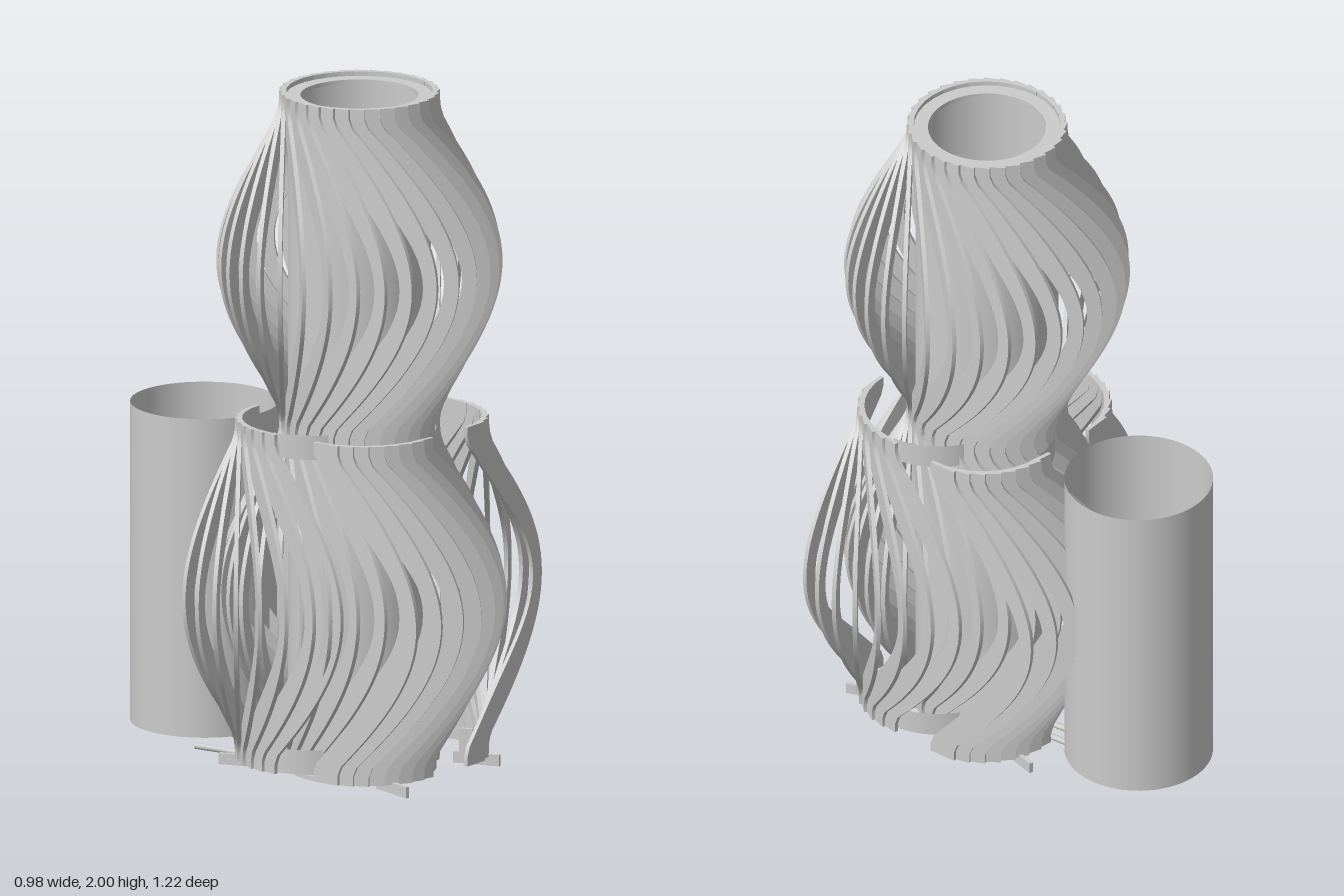
import * as THREE from 'three';
import { toCreasedNormals } from 'three/addons/utils/BufferGeometryUtils.js';

const AXIS_X = -0.01, AXIS_Z = 0.135; // vertical axis of the lamp
const OFFSET = 0.21;                  // distance from axis to each slat plane
const HALF = 0.49;                    // half height of a slat
const COUNT = 32;
// Axis positions (x, z) of the four pulled-out quarters
const QUARTERS = [[0.09, 0.232], [-0.095, 0.212], [-0.086, 0.038], [0.108, 0.06]];

const grey = new THREE.MeshStandardMaterial({ color: 0xcccccc });
const thin = new THREE.MeshStandardMaterial({ color: 0xcccccc, side: THREE.DoubleSide });

function add(parent, name, geometry, x = 0, y = 0, z = 0, material = grey) {
  const mesh = new THREE.Mesh(geometry, material);
  mesh.name = name;
  mesh.position.set(x, y, z);
  parent.add(mesh);
  return mesh;
}

function group(parent, name, x = 0, y = 0, z = 0) {
  const g = new THREE.Group();
  g.name = name;
  g.position.set(x, y, z);
  parent.add(g);
  return g;
}

// Flat slat: narrow and far out in the middle, broad and close in at the ends
function slatGeometry() {
  const outer = [], inner = [], steps = 36;
  for (let i = 0; i <= steps; i++) {
    const s = (i / steps) * 2 - 1;
    const bulge = Math.pow(Math.max(0, Math.cos(Math.min(1, Math.abs(s) / 0.92) * Math.PI / 2)), 1.35);
    const r = 0.22 + 0.177 * bulge;
    const t = Math.sqrt(r * r - OFFSET * OFFSET);
    const width = 0.042 + 0.04 * (1 - bulge) + 0.025 * Math.sin(Math.PI * bulge);
    outer.push(new THREE.Vector2(t, s * HALF));
    inner.push(new THREE.Vector2(t - width, s * HALF));
  }
  const shape = new THREE.Shape([...outer, ...inner.reverse()]);
  const geo = new THREE.ExtrudeGeometry(shape, { depth: 0.012, bevelEnabled: false });
  geo.translate(0, 0, OFFSET - 0.006);
  return toCreasedNormals(geo, 0.5);
}

// Horizontal plate from a shape, top face at y = 0
function plate(shape, height) {
  const geo = new THREE.ExtrudeGeometry(shape, { depth: height, bevelEnabled: false, curveSegments: 40 });
  geo.rotateX(Math.PI / 2);
  return toCreasedNormals(geo, 0.5);
}

function ringPlate(rIn, rOut, height) {
  const shape = new THREE.Shape();
  shape.absarc(0, 0, rOut, 0, Math.PI * 2, false);
  const hole = new THREE.Path();
  hole.absarc(0, 0, rIn, 0, Math.PI * 2, true);
  shape.holes.push(hole);
  return plate(shape, height);
}

// Round base with four curved slots
function basePlate() {
  const shape = new THREE.Shape();
  shape.absarc(0, 0, 0.2, 0, Math.PI * 2, false);
  for (let i = 0; i < 4; i++) {
    const a = i * Math.PI / 2, half = i % 2 ? 0.1 : 0.25;
    const slot = new THREE.Path();
    slot.absarc(0, 0, 0.165, a - half, a + half, false);
    slot.absarc(0, 0, 0.15, a + half, a - half, true);
    shape.holes.push(slot);
  }
  return plate(shape, 0.012);
}

const tube = (r) => new THREE.CylinderGeometry(r, r, 0.92, 64, 1, true);

export function createModel() {
  const model = new THREE.Group();
  model.name = 'slattedLamp';
  const slat = slatGeometry();
  const addSlat = (parent, angle) => {
    add(parent, 'slat', slat).rotation.y = Math.PI / 2 - angle;
  };

  // Two complete shades, stacked; baseY is the height of the base above the shade centre
  const addShade = (name, y, baseY) => {
    const shade = group(model, name, AXIS_X, y, AXIS_Z);
    for (let k = 0; k < COUNT; k++) addSlat(shade, k * Math.PI * 2 / COUNT);
    add(shade, 'topRing', ringPlate(0.165, 0.21, 0.012), 0, 0.477, 0);
    add(shade, 'diffuser', tube(0.2), 0, 0, 0, thin);
    add(shade, 'basePlate', basePlate(), 0, baseY, 0);
    add(shade, 'bulb', new THREE.SphereGeometry(0.135, 40, 24), 0, baseY + 0.22, 0);
    add(shade, 'socket', new THREE.CylinderGeometry(0.045, 0.045, 0.1, 24), 0, baseY + 0.05, 0);
    return shade;
  };
  addShade('upperShade', 1.51, -0.455);
  const lower = addShade('lowerShade', 0.565, -0.51);

  // Ring and spacers above the lower base
  add(lower, 'baseRing', ringPlate(0.165, 0.215, 0.01), 0, -0.485, 0);
  for (let i = 0; i < 8; i++) {
    const a = (i + 0.5) * Math.PI / 4;
    add(lower, 'spacer', new THREE.BoxGeometry(0.025, 0.024, 0.05),
      0.182 * Math.cos(a), -0.503, 0.182 * Math.sin(a)).rotation.y = -a;
  }

  // Outer quarters of slats, pulled away from the lower shade
  QUARTERS.forEach(([x, z], q) => {
    const from = q * Math.PI / 2, mid = from + Math.PI / 4;
    const sx = Math.sign(Math.cos(mid)), sz = Math.sign(Math.sin(mid));
    const quarter = group(model, 'lowerQuarter', x, 0.565, z);
    for (let k = 1; k <= COUNT / 4; k++) addSlat(quarter, from + k * Math.PI * 2 / COUNT);
    // Thin curved bands behind the slat ends
    for (const y of [0.455, -0.455]) {
      add(quarter, 'collarBand',
        new THREE.CylinderGeometry(0.203, 0.203, 0.07, 14, 1, true, -from - Math.PI / 2, Math.PI / 2).rotateY(Math.PI),
        0, y, 0, thin);
    }
    // Foot: low bar with an upright tab
    const foot = group(model, 'foot', AXIS_X + sx * 0.2, 0, AXIS_Z + sz * 0.26);
    foot.rotation.y = sx * sz * 0.29;
    add(foot, 'footBar', new THREE.BoxGeometry(0.012, 0.032, 0.136), 0, 0.066, 0);
    add(foot, 'footTab', new THREE.BoxGeometry(0.012, 0.09, 0.04), 0, 0.105, -sz * 0.03);
  });

  // Two cable ends leading out to the back
  const paths = [
    [[0.05, 0.13], [0.02, 0.1], [0.01, 0.03], [0.012, -0.12], [0.02, -0.28], [0.018, -0.43]],
    [[0.05, 0.05], [0.056, -0.1], [0.062, -0.2], [0.073, -0.32], [0.068, -0.43]],
  ];
  for (const path of paths) {
    const curve = new THREE.CatmullRomCurve3(path.map(([y, z]) => new THREE.Vector3(AXIS_X, y, z)));
    add(model, 'cable', new THREE.TubeGeometry(curve, 40, 0.009, 10, false), 0, 0, 0, thin);
  }

  // Loose diffuser tube standing behind
  add(model, 'looseDiffuser', tube(0.208), AXIS_X, 0.56, -0.4, thin);

  return model;
}
